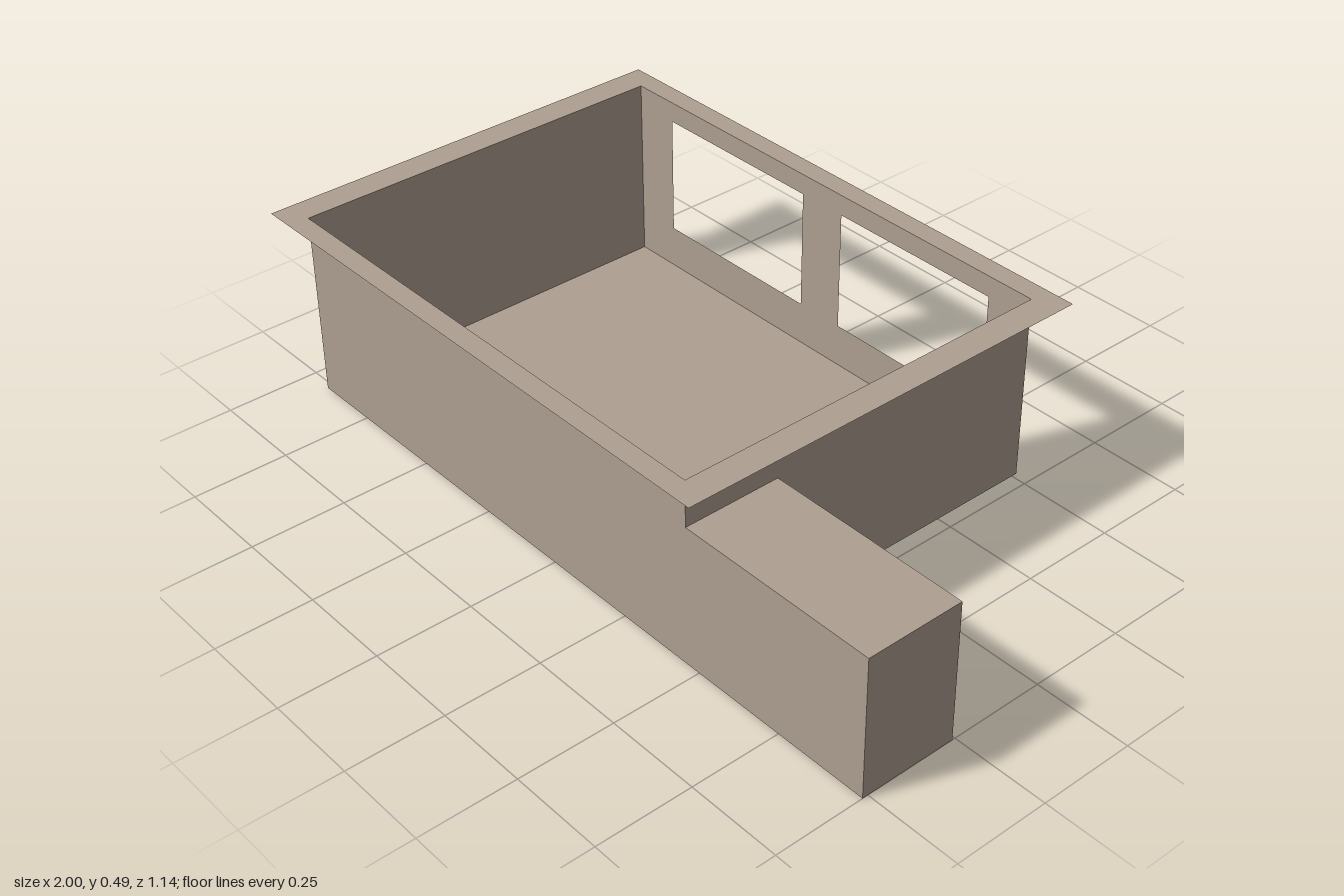
import * as THREE from 'three';

const X0 = -0.923, X1 = 0.46, X2 = 1;      // body right end, body left end, side box end
const Z = 0.515, ZS = 0.258;               // body half depth, back of the side box
const H = 0.492, HS = 0.37;                // body height, side box height
const Q = Math.PI / 2;

const rect = (a, b, c, d) => [[a, b], [c, b], [c, d], [a, d]];
const toPath = (pts, Type) => new Type(pts.map(([u, v]) => new THREE.Vector2(u, v)));

export function createModel() {
  const group = new THREE.Group();
  const taupe = new THREE.MeshStandardMaterial({ color: 0xae9f90, side: THREE.DoubleSide });
  taupe.name = 'taupe';

  // thin flat sheet drawn in its own plane, then turned and placed
  function sheet(name, pts, rot, pos, holes = []) {
    const shape = toPath(pts, THREE.Shape);
    shape.holes = holes.map((h) => toPath(h, THREE.Path));
    const mesh = new THREE.Mesh(new THREE.ShapeGeometry(shape), taupe);
    mesh.name = name;
    mesh.rotation.set(...rot);
    mesh.position.set(...pos);
    group.add(mesh);
  }

  // floor runs on under the side box
  sheet('floor', [[X0, -Z], [X1, -Z], [X1, ZS], [X2, ZS], [X2, Z], [X0, Z]], [Q, 0, 0], [0, 0, 0]);

  // one front wall for body and side box
  sheet('frontWall', [[X0, 0], [X2, 0], [X2, HS], [X1, HS], [X1, H], [X0, H]], [0, 0, 0], [0, 0, Z]);

  // back wall with two window openings
  sheet('backWall', rect(-X1, 0, -X0, H), [0, Math.PI, 0], [0, 0, -Z], [
    rect(-0.332, 0.115, 0.16, 0.437),
    rect(0.297, 0.115, 0.797, 0.437),
  ]);

  // end walls; the left one is notched where the side box opens into the body
  sheet('rightWall', rect(-Z, 0, Z, H), [0, -Q, 0], [X0, 0, 0]);
  sheet('leftWall', [[-ZS, 0], [Z, 0], [Z, H], [-Z, H], [-Z, HS], [-ZS, HS]], [0, Q, 0], [X1, 0, 0]);

  // side box
  sheet('sideBoxTop', rect(X1, -Z, X2, -ZS), [-Q, 0, 0], [0, HS, 0]);
  sheet('sideBoxBack', rect(-X2, 0, -X1, HS), [0, Math.PI, 0], [0, 0, ZS]);
  sheet('sideBoxEnd', rect(-Z, 0, -ZS, HS), [0, Q, 0], [X2, 0, 0]);

  // flat rim around the open top
  sheet('rim', rect(-1, -0.57, 0.536, 0.57), [-Q, 0, 0], [0, H, 0], [rect(X0, -Z, X1, Z)]);

  return group;
}
